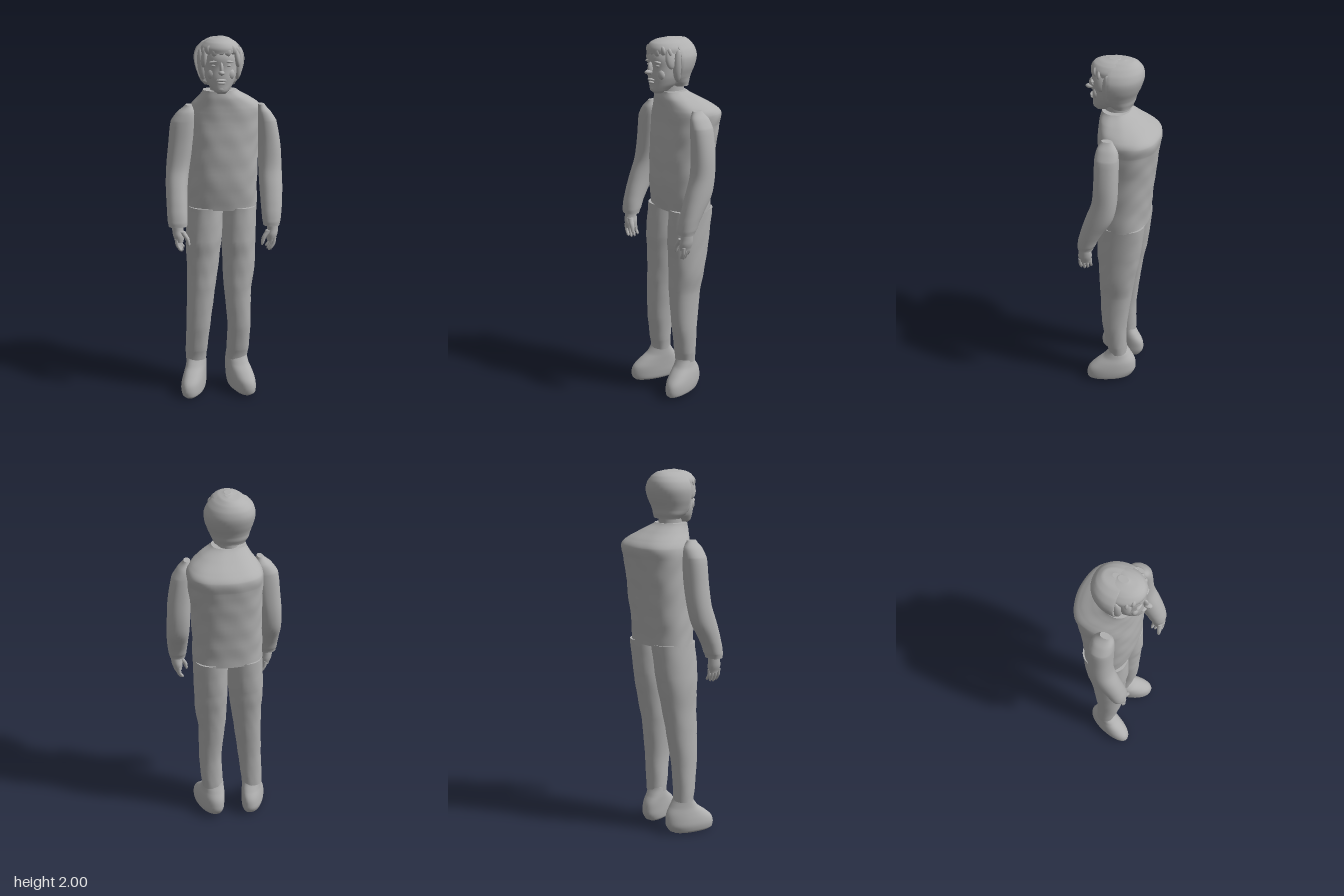
import * as THREE from 'three';

const grey = new THREE.MeshStandardMaterial({ color: 0xb0b0b0 });
grey.name = 'plain grey';

// Smooth value through four control numbers
const spline = (a, b, c, d, t) =>
  0.5 * (2 * b + (c - a) * t + (2 * a - 5 * b + 4 * c - d) * t * t + (3 * b - a - 3 * c + d) * t * t * t);

// Closed body lofted upward through rings [y, xMin, xMax, zMin, zMax]
function loft(name, rings, { power = 2, sides = 40, steps = 5, shear = 0, zCut = Infinity, ripple = 0 } = {}) {
  const pos = [], index = [], last = rings.length - 1;
  const at = (i) => rings[Math.min(Math.max(i, 0), last)];
  const rows = last * steps + 1;
  const sections = [];
  for (let r = 0; r < rows; r++) {
    const i = Math.min(Math.floor(r / steps), last - 1), t = r / steps - i;
    const [y, x0, x1, z0, z1] = at(i).map((_, k) =>
      k === 0 ? at(i)[0] + (at(i + 1)[0] - at(i)[0]) * t
        : spline(at(i - 1)[k], at(i)[k], at(i + 1)[k], at(i + 2)[k], t));
    sections.push([y, (x0 + x1) / 2, (z0 + z1) / 2]);
    for (let s = 0; s < sides; s++) {
      const a = (s / sides) * Math.PI * 2, c = Math.cos(a), n = Math.sin(a);
      const w = 1 + ripple * Math.sin(y * 43 + 3 * Math.sin(a * 2)) * Math.sin(a * 5 + y * 9);
      const dx = Math.sign(c) * Math.abs(c) ** (2 / power) * (x1 - x0) / 2 * w;
      const dz = Math.sign(n) * Math.abs(n) ** (2 / power) * (z1 - z0) / 2 * w;
      pos.push((x0 + x1) / 2 + dx + shear * dz, y, Math.min((z0 + z1) / 2 + dz, zCut));
    }
  }
  for (let r = 0; r < rows - 1; r++) for (let s = 0; s < sides; s++) {
    const a = r * sides + s, b = r * sides + (s + 1) % sides;
    index.push(a, a + sides, b, b, a + sides, b + sides);
  }
  // Flat end caps with their own corners, so the rims stay sharp
  for (const row of [0, rows - 1]) {
    const start = pos.length / 3, [y, x, z] = sections[row];
    for (let s = 0; s < sides; s++) {
      const p = (row * sides + s) * 3;
      pos.push(pos[p], pos[p + 1], pos[p + 2]);
    }
    pos.push(x, y, Math.min(z, zCut));
    for (let s = 0; s < sides; s++) {
      const a = start + s, b = start + (s + 1) % sides;
      if (row) index.push(start + sides, b, a); else index.push(start + sides, a, b);
    }
  }
  const g = new THREE.BufferGeometry();
  g.setAttribute('position', new THREE.Float32BufferAttribute(pos, 3));
  g.setIndex(index);
  g.computeVertexNormals();
  const mesh = new THREE.Mesh(g, grey);
  mesh.name = name;
  return mesh;
}

// Soft blob for facial features and locks of hair
function blob(name, x, y, z, rx, ry, rz, tilt = 0) {
  const mesh = new THREE.Mesh(new THREE.SphereGeometry(1, 16, 12), grey);
  mesh.name = name;
  mesh.position.set(x, y, z);
  mesh.scale.set(rx, ry, rz);
  mesh.rotation.z = tilt;
  return mesh;
}

function makeHead() {
  const head = new THREE.Group();
  head.name = 'head';
  const cx = -0.022;
  head.add(
    loft('neck', [[1.66, -0.085, 0.05, -0.05, 0.1], [1.71, -0.075, 0.04, -0.035, 0.1], [1.78, -0.08, 0.04, -0.04, 0.1]]),
    loft('face', [
      [1.712, -0.042, 0.004, 0.1, 0.145], [1.727, -0.064, 0.022, 0.05, 0.162], [1.76, -0.09, 0.045, 0, 0.163],
      [1.8, -0.105, 0.06, -0.03, 0.165], [1.85, -0.11, 0.066, -0.05, 0.162], [1.9, -0.11, 0.066, -0.06, 0.166],
      [1.95, -0.1, 0.055, -0.05, 0.15]], { power: 2.2 }),
    loft('backHair', [
      [1.745, -0.105, 0.06, -0.05, 0.06], [1.77, -0.125, 0.072, -0.06, 0.11], [1.8, -0.138, 0.086, -0.068, 0.16],
      [1.85, -0.154, 0.103, -0.09, 0.18], [1.9, -0.16, 0.106, -0.104, 0.18], [1.94, -0.148, 0.09, -0.1, 0.18],
      [1.97, -0.12, 0.062, -0.082, 0.16], [1.99, -0.08, 0.03, -0.055, 0.12], [1.998, -0.03, 0, -0.01, 0.06]],
      { zCut: 0.058, power: 2.15 }),
    loft('frontHair', [
      [1.925, -0.125, 0.078, -0.05, 0.168], [1.95, -0.122, 0.075, -0.06, 0.17], [1.975, -0.1, 0.056, -0.05, 0.156],
      [1.99, -0.075, 0.032, -0.02, 0.125], [2, -0.035, 0, 0.02, 0.075]]),
    blob('nose', cx, 1.845, 0.166, 0.011, 0.035, 0.02),
    blob('noseTip', cx, 1.828, 0.182, 0.016, 0.012, 0.023),
    blob('upperLip', cx, 1.787, 0.165, 0.028, 0.007, 0.014),
    blob('lowerLip', cx, 1.772, 0.163, 0.022, 0.007, 0.014),
    blob('chin', cx, 1.738, 0.145, 0.026, 0.018, 0.02));
  for (const side of [-1, 1]) {
    head.add(
      blob('brow', cx + side * 0.037, 1.882, 0.152, 0.028, 0.007, 0.013, side * -0.15),
      blob('eye', cx + side * 0.036, 1.861, 0.15, 0.016, 0.007, 0.01),
      blob('cheek', cx + side * 0.045, 1.815, 0.134, 0.026, 0.03, 0.019),
      blob('sideLock', cx + side * 0.096, 1.86, 0.06, 0.024, 0.085, 0.03, side * -0.08),
      blob('templeLock', cx + side * 0.084, 1.9, 0.1, 0.018, 0.055, 0.032, side * 0.15));
  }
  // Scalloped fringe around the forehead
  for (let i = 0; i < 7; i++) {
    const a = (i - 3) * 0.37;
    head.add(blob('fringe', cx + Math.sin(a) * 0.09, 1.932 + (i % 2) * 0.008, 0.07 + Math.cos(a) * 0.087,
      0.019, 0.024, 0.012, a * 0.4));
  }
  return head;
}

// Depth of the sleeve at each height, shared by both arms
const sleeve = [[1, 0.1, 0.183], [1.03, 0.085, 0.183], [1.1, 0.052, 0.168], [1.2, -0.008, 0.137], [1.3, -0.03, 0.102],
  [1.42, -0.036, 0.092], [1.55, -0.036, 0.09], [1.6, -0.025, 0.082], [1.64, 0.005, 0.062]];

function makeArm(side, name, widths) {
  const arm = new THREE.Group();
  arm.name = name;
  const span = (a, b) => side > 0 ? [a, b] : [-b, -a];
  arm.add(loft('sleeve', sleeve.map(([y, z0, z1], i) => [y, ...span(...widths[i]), z0, z1]), { power: 2.2, sides: 32 }));
  arm.add(loft('hand', [[0.915, ...span(0.225, 0.27), 0.115, 0.178], [0.95, ...span(0.222, 0.282), 0.108, 0.183],
    [0.98, ...span(0.226, 0.286), 0.108, 0.178], [1.02, ...span(0.222, 0.288), 0.11, 0.175]], { sides: 20 }));
  // Four curled fingers and a thumb
  for (let i = 0; i < 4; i++) {
    const z = 0.119 + i * 0.017, x = 0.228 + i * 0.006, low = [0.872, 0.862, 0.86, 0.868][i];
    arm.add(loft('finger', [[low, ...span(x - 0.008, x + 0.002), z - 0.003, z + 0.003],
      [low + 0.008, ...span(x - 0.009, x + 0.009), z - 0.008, z + 0.008],
      [0.9, ...span(x + 0.003, x + 0.023), z - 0.009, z + 0.009],
      [0.935, ...span(x + 0.006, x + 0.028), z - 0.009, z + 0.009]], { sides: 10, steps: 3 }));
  }
  arm.add(loft('thumb', [[0.895, ...span(0.193, 0.202), 0.165, 0.175], [0.905, ...span(0.19, 0.208), 0.16, 0.18],
    [0.94, ...span(0.196, 0.222), 0.156, 0.182], [0.975, ...span(0.215, 0.25), 0.145, 0.178]], { sides: 10, steps: 3 }));
  return arm;
}

// Trouser leg and shoe; widths are [xMin, xMax] from the ankle upward
const legDepth = [[0.185, -0.04, 0.062], [0.25, -0.04, 0.075], [0.4, -0.045, 0.098], [0.6, -0.07, 0.108],
  [0.7, -0.085, 0.11], [0.8, -0.105, 0.113], [0.9, -0.122, 0.12], [1.08, -0.14, 0.112]];
const shoeDepth = [[0, -0.045, 0.165], [0.012, -0.068, 0.177], [0.045, -0.088, 0.18], [0.08, -0.09, 0.168],
  [0.115, -0.082, 0.132], [0.15, -0.06, 0.088], [0.2, -0.033, 0.055]];

function makeLeg(name, legWidths, shoeWidths, shear, lift) {
  const leg = new THREE.Group();
  leg.name = name;
  leg.add(loft('trouserLeg', legDepth.map(([y, z0, z1], i) => [y, ...legWidths[i], z0, z1]), { power: 2.2, ripple: 0.012 }));
  const shoe = loft('shoe', shoeDepth.map(([y, z0, z1], i) => [y, ...shoeWidths[i], z0, z1]), { power: 2.2, shear });
  shoe.position.y = lift;
  leg.add(shoe);
  return leg;
}

export function createModel() {
  const model = new THREE.Group();
  model.name = 'standingFigure';
  // Padded sleeveless jacket
  model.add(loft('jacket', [
    [1.07, -0.2, 0.183, -0.145, 0.11], [1.2, -0.195, 0.183, -0.156, 0.128], [1.4, -0.19, 0.19, -0.178, 0.13],
    [1.54, -0.192, 0.205, -0.196, 0.122], [1.6, -0.188, 0.211, -0.205, 0.118], [1.635, -0.17, 0.19, -0.172, 0.118],
    [1.68, -0.135, 0.13, -0.1, 0.118], [1.72, -0.112, 0.07, -0.04, 0.11]], { power: 2.35, sides: 64, steps: 8, ripple: 0.012 }));
  model.add(makeHead());
  model.add(makeArm(-1, 'rightArm', [[0.205, 0.305], [0.202, 0.31], [0.202, 0.313], [0.198, 0.316], [0.186, 0.312],
    [0.166, 0.3], [0.152, 0.285], [0.155, 0.25], [0.172, 0.205]]));
  model.add(makeArm(1, 'leftArm', [[0.205, 0.293], [0.2, 0.3], [0.195, 0.308], [0.19, 0.314], [0.186, 0.312],
    [0.184, 0.305], [0.178, 0.282], [0.178, 0.25], [0.182, 0.216]]));
  model.add(makeLeg('rightLeg',
    [[-0.215, -0.1], [-0.215, -0.092], [-0.21, -0.075], [-0.205, -0.05], [-0.203, -0.035], [-0.207, -0.022], [-0.208, -0.01], [-0.198, 0]],
    [[-0.215, -0.13], [-0.23, -0.113], [-0.236, -0.107], [-0.232, -0.105], [-0.222, -0.102], [-0.212, -0.1], [-0.208, -0.103]], -0.25, 0));
  model.add(makeLeg('leftLeg',
    [[0.013, 0.132], [0.016, 0.142], [0.02, 0.15], [0.002, 0.152], [-0.005, 0.168], [-0.008, 0.174], [-0.01, 0.176], [-0.008, 0.182]],
    [[0.05, 0.142], [0.034, 0.16], [0.027, 0.163], [0.023, 0.16], [0.018, 0.15], [0.014, 0.136], [0.015, 0.128]], 0.28, 0.01));
  return model;
}
